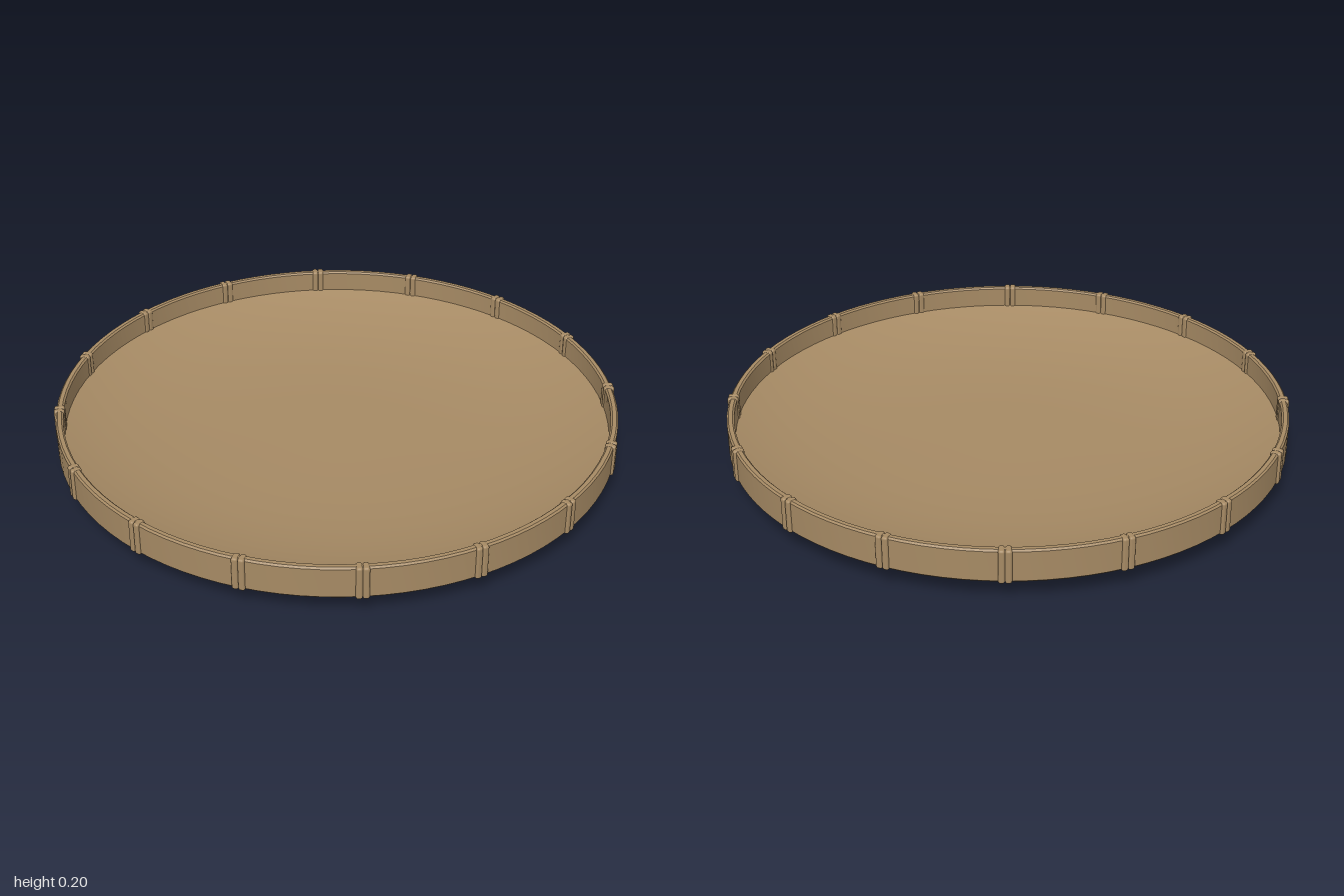
import * as THREE from 'three';
import { toCreasedNormals } from 'three/addons/utils/BufferGeometryUtils.js';
import { RoundedBoxGeometry } from 'three/addons/geometries/RoundedBoxGeometry.js';

export function createModel() {
  const model = new THREE.Group();
  model.name = 'shallowTray';
  const wood = new THREE.MeshStandardMaterial({ color: 0xa68a64, side: THREE.DoubleSide });
  wood.name = 'tan wood';

  // Shallow dish: curved underside and floor, both ending inside the hoop
  const addSheet = (name, base, rise, power) => {
    const profile = [];
    for (let i = 0; i <= 28; i++) {
      const t = i / 28;
      profile.push(new THREE.Vector2(0.97 * t, base + rise * Math.pow(t, power)));
    }
    const sheet = new THREE.Mesh(new THREE.LatheGeometry(profile, 96), wood);
    sheet.name = name;
    model.add(sheet);
  };
  addSheet('dishUnderside', 0, 0.086, 4);
  addSheet('dishFloor', 0.01, 0.11, 3.6);

  // Upright hoop with softly bevelled edges
  const hoopProfile = [
    [0.966, 0.086], [0.972, 0.08], [0.986, 0.08], [0.992, 0.086],
    [0.992, 0.191], [0.986, 0.197], [0.972, 0.197], [0.966, 0.191], [0.966, 0.086],
  ].map(([r, y]) => new THREE.Vector2(r, y));
  const hoop = new THREE.Mesh(toCreasedNormals(new THREE.LatheGeometry(hoopProfile, 96), 0.6), wood);
  hoop.name = 'rimHoop';
  model.add(hoop);

  // Sixteen bindings, each of two narrow strips wrapped over the hoop
  const strip = new RoundedBoxGeometry(0.022, 0.12, 0.038, 3, 0.008);
  for (let i = 0; i < 16; i++) {
    const binding = new THREE.Group();
    binding.name = 'rimBinding';
    binding.rotation.y = (i / 16) * Math.PI * 2;
    for (const side of [-1, 1]) {
      const band = new THREE.Mesh(strip, wood);
      band.name = 'bindingStrip';
      band.position.set(side * 0.011, 0.139, 0.981);
      binding.add(band);
    }
    model.add(binding);
  }
  return model;
}
